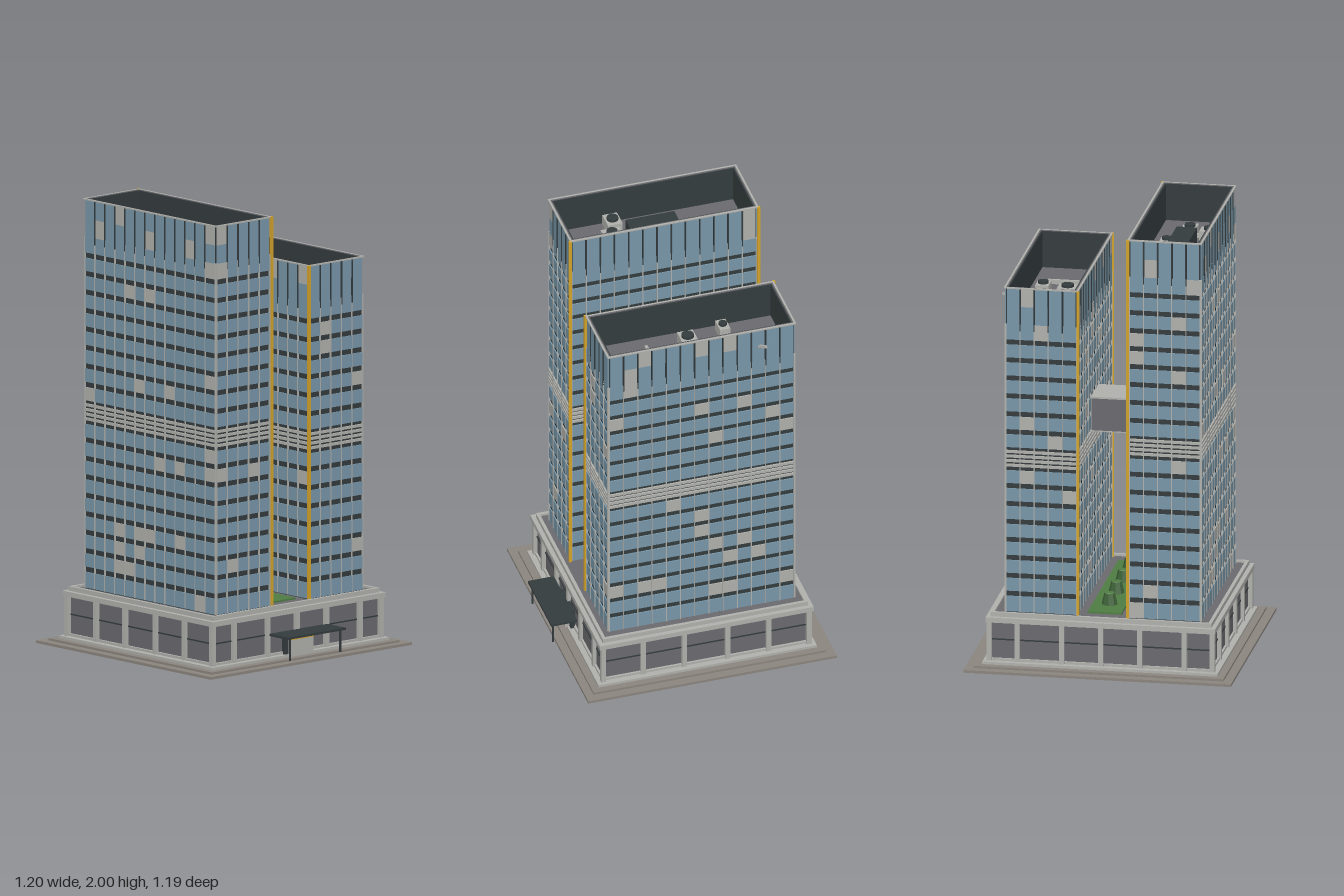
import * as THREE from 'three';
import { mergeGeometries } from 'three/addons/utils/BufferGeometryUtils.js';

const mat = (name, color, side = THREE.FrontSide) => {
  const m = new THREE.MeshStandardMaterial({ color, side });
  m.name = name;
  return m;
};

export function createModel() {
  const M = {
    glass: mat('blue glass', 0x7896a8),
    dark: mat('dark metal', 0x343c3e),
    light: mat('pale concrete', 0xb0b0ac),
    grey: mat('grey roofing', 0x6a6a6f),
    paving: mat('paving', 0x8b857e),
    gold: mat('gold trim', 0xd3a32a),
    lawn: mat('lawn green', 0x507d42),
    shrub: mat('shrub green', 0x3d6238),
  };
  M.shrub.flatShading = true;

  const model = new THREE.Group();
  const Z = -0.02; // depth centre of the buildings
  const FLOOR = 0.0831, BASE = 0.25;

  const box = (w, h, d, x, y, z) => new THREE.BoxGeometry(w, h, d).translate(x, y, z);
  // box from its bottom height to its top height
  const slab = (w, d, y0, y1, x = 0, z = Z) => box(w, y1 - y0, d, x, (y0 + y1) / 2, z);
  const add = (name, material, geos, parent = model) => {
    const mesh = new THREE.Mesh(mergeGeometries([].concat(geos)), material);
    mesh.name = name;
    parent.add(mesh);
    return mesh;
  };
  // four walls around a rectangle of outer size w x d
  const ring = (w, d, t, y0, y1, x = 0, z = Z) => [-1, 1].flatMap((s) => [
    slab(w, t, y0, y1, x, z + s * (d - t) / 2),
    slab(t, d - 2 * t, y0, y1, x + s * (w - t) / 2, z),
  ]);
  let seed = 7;
  const rand = () => (seed = (seed * 16807) % 2147483647) / 2147483647;

  // Stepped paving
  add('lowerStep', M.paving, slab(1.2, 1.15, 0, 0.012));
  add('middleStep', M.paving, slab(1.12, 1.075, 0.012, 0.022));
  add('upperStep', M.light, slab(1.055, 1.01, 0.022, 0.034));

  // Podium with columns, rails and cornice
  add('podiumWall', M.grey, slab(0.98, 0.94, 0.03, 0.246));
  const trim = [...ring(1.0, 0.96, 0.02, 0.034, 0.045), ...ring(1.03, 0.99, 0.035, 0.213, 0.236),
    ...ring(0.99, 0.95, 0.015, 0.236, 0.256)];
  for (const s of [-1, 1]) {
    for (const x of [-0.5, -0.375, -0.175, 0, 0.175, 0.375, 0.5])
      trim.push(slab(0.022, 0.022, 0.034, 0.215, x, Z + s * 0.476));
    for (const z of [-0.29, -0.1, 0.1, 0.29])
      trim.push(slab(0.022, 0.022, 0.034, 0.215, s * 0.496, Z + z));
  }
  add('podiumTrim', M.light, trim);
  add('podiumMullions', M.dark, ring(0.986, 0.946, 0.006, 0.128, 0.134));

  // Entrance and canopy
  add('canopy', M.dark, [slab(0.345, 0.12, 0.129, 0.139, -0.002, 0.532),
    ...[-0.15, 0.15].map((x) => slab(0.007, 0.007, 0.03, 0.13, x, 0.578))]);
  add('entrance', M.light, slab(0.13, 0.04, 0.03, 0.1, 0, 0.475));
  add('entranceTrim', M.gold, slab(0.135, 0.044, 0.1, 0.106, 0, 0.475));
  add('entranceSurround', M.dark, slab(0.17, 0.02, 0.034, 0.129, 0, 0.465));

  // Courtyard lawn and shrubs
  add('lawn', M.lawn, slab(0.152, 0.77, 0.245, 0.254));
  for (let i = 0; i < 4; i++) {
    const g = new THREE.CylinderGeometry(0.024, 0.036, 0.052, 8).translate(0, 0.279, -0.278 + i * 0.172);
    add('shrub', M.shrub, g);
    const top = new THREE.CylinderGeometry(0.022, 0.024, 0.003, 8).translate(0, 0.3055, -0.278 + i * 0.172);
    add('shrubTop', M.lawn, top);
  }

  // Skybridge
  add('skybridge', M.grey, slab(0.24, 0.185, 1.0, 1.148, 0, Z));
  add('skybridgeRoof', M.light, slab(0.225, 0.19, 1.148, 1.156, 0, Z));
  add('skybridgeFloor', M.light, slab(0.225, 0.19, 0.995, 1.0, 0, Z));

  // One tower: panels are laid on a dark core, whose gaps read as floor bands
  function tower(name, cx, inner, floors, top, mech, pale) {
    const group = new THREE.Group();
    group.name = name;
    model.add(group);
    const hx = 0.158, hz = 0.427;
    const crown = BASE + floors * FLOOR;
    add('core', M.dark, [slab(2 * hx, 2 * hz, 0.24, crown - 0.01, cx),
      ...ring(2 * hx, 2 * hz, 0.012, crown - 0.01, top - 0.004, cx)], group);
    add('roofDeck', M.grey, slab(2 * hx - 0.024, 2 * hz - 0.024, crown - 0.01, crown, cx), group);

    const glass = [], light = [], dark = [];
    for (let f = 0; f < 4; f++) {
      const n = f % 2 ? 13 : 5, half = f % 2 ? hz : hx, out = f % 2 ? hx : hz;
      const w = (2 * half) / n;
      const put = (list, pw, y0, y1, u, t) => list.push(box(pw, y1 - y0, t, u, (y0 + y1) / 2, out + t / 2)
        .rotateY(f * Math.PI / 2).translate(cx, 0, Z));
      for (let r = 0; r < floors + 2; r++) {
        const inCrown = r >= floors;
        const rowH = inCrown ? (top - 0.006 - crown) / 2 : FLOOR;
        const y0 = inCrown ? crown + (r - floors) * rowH : BASE + r * FLOOR;
        if (r === mech) { // louvred plant floor
          for (let k = 0; k < 4; k++) put(light, 2 * half, y0 + 0.006 + k * 0.021, y0 + 0.018 + k * 0.021, 0, 0.008);
          continue;
        }
        for (let c = 0; c < n; c++) {
          const chosen = pale[f] ? (pale[f][r] || []).includes(c) : rand() < 0.06;
          const a = inCrown ? 0 : r === 0 ? 0 : 0.012;
          const b = inCrown || r === floors - 1 ? 0 : 0.012;
          put(chosen ? light : glass, w - (inCrown ? 0.009 : 0.003), y0 + a, y0 + rowH - b,
            -half + (c + 0.5) * w, 0.005 + rand() * 0.001);
        }
      }
      // vertical fins, pale below and dark on the crown
      for (let c = 0; c <= n; c++) {
        const u = -half + c * w;
        put(light, 0.004, BASE, crown, u, 0.008);
        if (c > 0 && c < n) put(dark, 0.004, crown - 0.03, top - 0.006, u, 0.009);
      }
    }
    add('glazing', M.glass, glass, group);
    add('paleTrim', M.light, light, group);
    add('crownFins', M.dark, dark, group);
    add('parapetCap', M.light, ring(2 * hx + 0.018, 2 * hz + 0.018, 0.009, top - 0.006, top, cx), group);
    add('parapetLiningCap', M.grey, ring(2 * hx, 2 * hz, 0.006, top - 0.006, top - 0.001, cx), group);
    add('cornerStrips', M.gold, [-1, 1].map((s) =>
      slab(0.012, 0.012, BASE, top, inner, Z + s * 0.436)), group);

    // Rooftop fan units, given as x, z, width, depth
    group.userData.fan = (x, z, w, d) => {
      add('fanUnit', M.light, slab(w, d, crown, crown + 0.05, x, z), group);
      add('fan', M.dark, new THREE.CylinderGeometry(0.38 * Math.min(w, d), 0.38 * Math.min(w, d), 0.014, 16)
        .translate(x, crown + 0.055, z), group);
    };
    return { group, crown };
  }

  const tall = tower('tallTower', -0.278, -0.113, 19, 2.0, 9,
    { 0: { 20: [0], 18: [0], 7: [0, 3], 2: [1] } });
  const short = tower('shortTower', 0.276, 0.111, 16, 1.75, 8, {
    0: { 14: [1], 13: [1], 11: [4], 2: [4] },
    1: { 17: [2, 6, 8], 16: [1], 15: [1], 13: [0, 6, 9], 12: [11], 11: [7, 12], 7: [4], 6: [6], 5: [6],
      4: [7, 9], 3: [8, 10], 2: [0, 2, 3], 1: [7, 8, 12] },
  });

  // Rooftop equipment
  [[-0.212, -0.037, 0.055, 0.055], [-0.375, 0.138, 0.085, 0.068], [-0.28, 0.17, 0.065, 0.085]]
    .forEach((p) => tall.group.userData.fan(...p));
  [[0.197, -0.193, 0.075, 0.048], [0.235, -0.019, 0.085, 0.073], [0.35, 0.012, 0.06, 0.08]]
    .forEach((p) => short.group.userData.fan(...p));
  for (const t of [tall, short]) delete t.group.userData.fan;
  add('plantRoom', M.dark, slab(0.092, 0.225, tall.crown, tall.crown + 0.07, -0.28, Z), tall.group);
  add('roofPipe', M.light, slab(0.15, 0.013, tall.crown, tall.crown + 0.02, -0.282, 0.165), tall.group);
  add('roofPipe', M.light, slab(0.15, 0.013, short.crown, short.crown + 0.02, 0.28, 0.165), short.group);

  // Window-cleaning crane reaching over the side
  add('craneBase', M.light, slab(0.05, 0.035, short.crown, short.crown + 0.055, 0.357, -0.235), short.group);
  const from = new THREE.Vector3(0.357, 1.625, -0.235), to = new THREE.Vector3(0.475, 1.675, -0.308);
  const arm = add('craneArm', M.light, new THREE.BoxGeometry(0.01, 0.012, from.distanceTo(to)), short.group);
  arm.position.copy(from).lerp(to, 0.5);
  arm.lookAt(to);

  return model;
}
